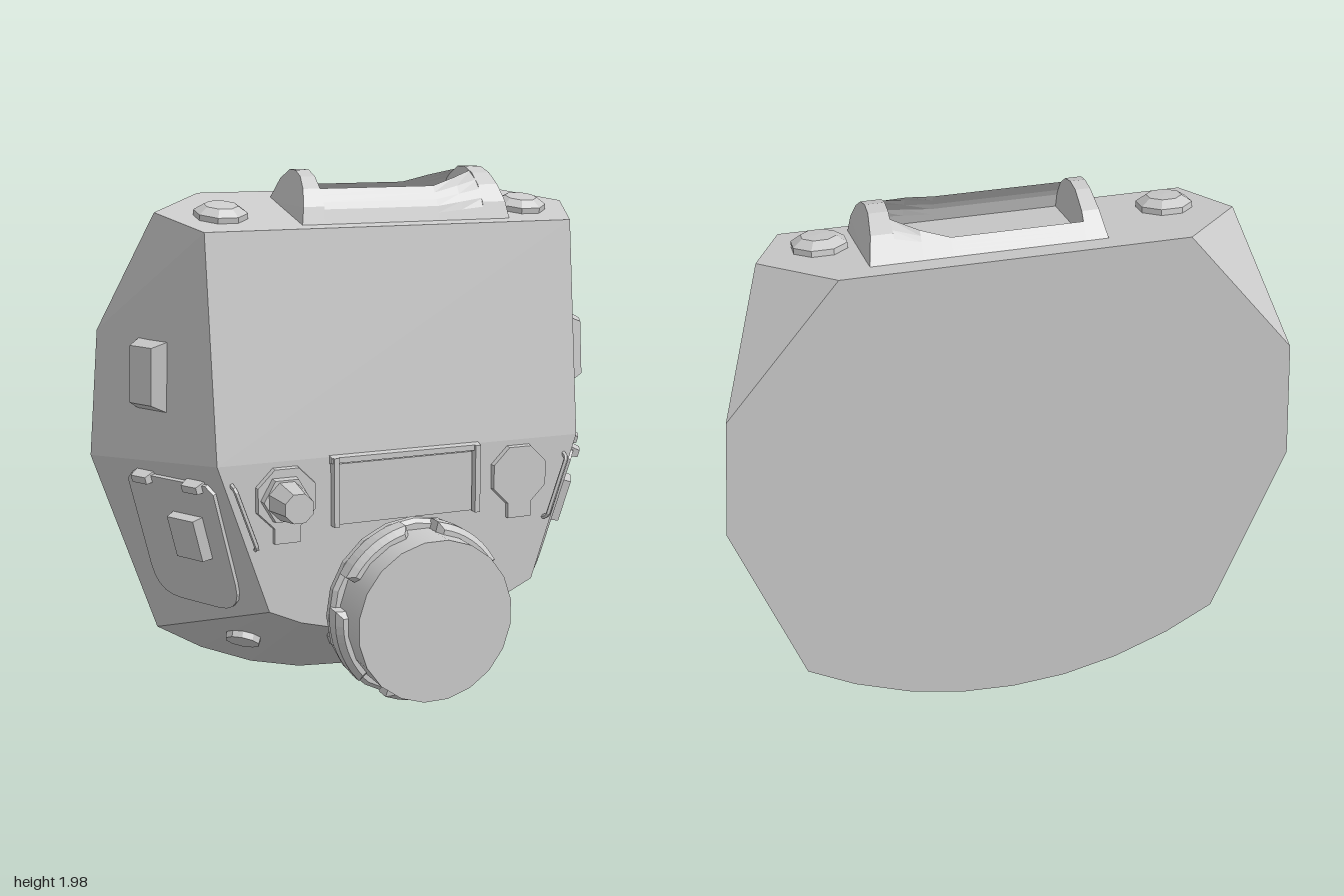
import * as THREE from 'three';
import { ConvexGeometry } from 'three/addons/geometries/ConvexGeometry.js';

const V = (x, y, z) => new THREE.Vector3(x, y, z);
const flat = new THREE.MeshStandardMaterial({ color: 0xcccccc, flatShading: true });
const smooth = new THREE.MeshStandardMaterial({ color: 0xcccccc });
const thin = new THREE.MeshStandardMaterial({ color: 0xcccccc, flatShading: true, side: THREE.DoubleSide });

function add(parent, name, geo, x = 0, y = 0, z = 0, mat = flat) {
  const mesh = new THREE.Mesh(geo, mat);
  mesh.name = name;
  mesh.position.set(x, y, z);
  parent.add(mesh);
  return mesh;
}

// Group whose local z is the surface normal and local y points up along the surface
function mount(parent, name, pos, normal) {
  const n = normal.clone().normalize();
  const up = V(0, 1, 0).addScaledVector(n, -n.y).normalize();
  const g = new THREE.Group();
  g.name = name;
  g.position.copy(pos);
  g.quaternion.setFromRotationMatrix(
    new THREE.Matrix4().makeBasis(up.clone().cross(n), up, n));
  parent.add(g);
  return g;
}

// Prism or truncated cone along z
const disc = (r0, r1, depth, sides) =>
  new THREE.CylinderGeometry(r1, r0, depth, sides).rotateY(Math.PI / sides).rotateX(Math.PI / 2);

// Box with its outer face shrunk and shifted sideways
function wedge(w, h, d, sx, sy, shift) {
  const geo = new THREE.BoxGeometry(w, h, d);
  const p = geo.attributes.position;
  for (let i = 0; i < p.count; i++) {
    if (p.getZ(i) > 0) p.setXY(i, p.getX(i) * sx + shift, p.getY(i) * sy);
  }
  return geo;
}

// Faceted housing: half of the corner points, mirrored
function housing() {
  const half = [
    [0.57, 1.89, -0.43], [0.8, 1.842, -0.19], [0.7, 1.79, 0.07],
    [0.96, 1.41, -0.43], [1, 0.95, -0.43], [0.7, 1, 0.155],
    [0.52, 0.46, 0.155], [0.4, 0.405, 0.155], [0.27, 0.37, 0.155],
    [0.13, 0.345, 0.155], [0, 0.34, 0.155],
    [0.77, 0.26, -0.43], [0.6, 0.155, -0.43], [0.4, 0.07, -0.43],
    [0.2, 0.02, -0.43], [0, 0.005, -0.43],
  ];
  const pts = [];
  for (const [x, y, z] of half) {
    pts.push(V(x, y, z));
    if (x) pts.push(V(-x, y, z));
  }
  return new ConvexGeometry(pts);
}

// Filter canister with a lugged locking collar
function filter(root) {
  const g = new THREE.Group();
  g.name = 'filter';
  g.position.set(0, 0.44, 0);
  root.add(g);
  add(g, 'canister', disc(0.295, 0.295, 0.66, 20), 0, 0, 0.1, smooth);
  const collar = [[0.28, 0.18], [0.3, 0.18], [0.33, 0.215], [0.33, 0.24], [0.315, 0.255], [0.28, 0.255]];
  add(g, 'collar', new THREE.LatheGeometry(
    collar.map(([r, z]) => new THREE.Vector2(r, z)), 20).rotateX(Math.PI / 2));
  const step = Math.PI * 2 / 5;
  for (let i = 0; i < 5; i++) {
    const a = Math.PI / 2 + i * step + 0.25, b = a + step - 0.5;
    const s = new THREE.Shape();
    s.absarc(0, 0, 0.31, a, b, false);
    s.absarc(0, 0, 0.28, b, a, true);
    add(g, 'collarLug', new THREE.ExtrudeGeometry(s, {
      depth: 0.06, bevelThickness: 0.025, bevelSize: 0.02, bevelSegments: 1, curveSegments: 4,
    }), 0, 0, 0.245);
  }
}

// Carry handle: arched shell, open on top, solid ends
const arch = [[0.03, 1.78], [0.01, 1.86], [-0.03, 1.92], [-0.08, 1.96], [-0.14, 1.98],
  [-0.2, 1.98], [-0.28, 1.945], [-0.36, 1.86]];

function archZ(pts, y) {
  for (let i = 1; i < pts.length; i++) {
    const [z0, y0] = pts[i - 1], [z1, y1] = pts[i];
    if (y <= y1) return z0 + (z1 - z0) * (y - y0) / (y1 - y0);
  }
  return pts[pts.length - 1][0];
}

function handle(root) {
  const g = new THREE.Group();
  g.name = 'topHandle';
  root.add(g);
  const shape = new THREE.Shape(arch.map(([z, y]) => new THREE.Vector2(-z, y)));
  for (const [x0, x1, outer] of [[-0.335, -0.245, -1], [0.37, 0.475, 1]]) {
    const geo = new THREE.ExtrudeGeometry(shape, { depth: x1 - x0, bevelEnabled: false })
      .rotateY(Math.PI / 2).translate(x0, 0, 0);
    const p = geo.attributes.position, edge = outer < 0 ? x0 : x1;
    for (let i = 0; i < p.count; i++) {
      if (Math.abs(p.getX(i) - edge) < 0.01)
        p.setX(i, edge - outer * 0.04 * Math.max(0, (p.getY(i) - 1.8) / 0.18));
    }
    add(g, 'handleEnd', geo);
  }
  const xs = [-0.25, 0.19, 0.285, 0.38], tops = [1.92, 1.92, 1.945, 1.97];
  const sides = [arch.slice(0, 5), arch.slice(5).reverse()];
  for (const side of sides) {
    const geo = new THREE.PlaneGeometry(1, 1, 3, 6), p = geo.attributes.position;
    for (let i = 0; i < p.count; i++) {
      const k = i % 4, t = 1 - Math.floor(i / 4) / 6;
      const y = side[0][1] + (tops[k] - side[0][1]) * t;
      p.setXYZ(i, xs[k], y, archZ(side, y));
    }
    add(g, 'handleWall', geo, 0, 0, 0, thin);
  }
}

// Rounded service hatch outline
function hatchShape() {
  const s = new THREE.Shape(), w = 0.212, h = 0.255;
  s.moveTo(-w + 0.03, h);
  s.lineTo(-w, h - 0.03);
  s.lineTo(-w, -h + 0.12);
  s.quadraticCurveTo(-w, -h, -w + 0.12, -h);
  s.lineTo(w - 0.12, -h);
  s.quadraticCurveTo(w, -h, w, -h + 0.12);
  s.lineTo(w, h - 0.03);
  s.lineTo(w - 0.03, h);
  return s;
}

export function createModel() {
  const root = new THREE.Group();
  root.name = 'gasMaskHousing';
  add(root, 'housing', housing());
  filter(root);
  handle(root);

  // Front display panel with frame ribs
  add(root, 'frontPanel', new THREE.BoxGeometry(0.52, 0.22, 0.04), 0, 0.865, 0.15);
  add(root, 'panelLip', wedge(0.58, 0.04, 0.05, 1, 0.5, 0), 0, 0.99, 0.155);
  for (const s of [-1, 1])
    add(root, 'panelRib', new THREE.BoxGeometry(0.02, 0.25, 0.06), s * 0.275, 0.875, 0.16);

  // Two ports with tabs, the right one fitted with a nozzle
  for (const s of [-1, 1]) {
    add(root, 'portPlate', disc(0.122, 0.115, 0.04, 8), s * 0.455, 0.87, 0.155);
    add(root, 'portTab', new THREE.BoxGeometry(0.095, 0.08, 0.04), s * 0.455, 0.75, 0.155);
  }
  add(root, 'nozzleNut', disc(0.09, 0.085, 0.05, 6), -0.465, 0.87, 0.18);
  add(root, 'nozzle', disc(0.075, 0.055, 0.14, 8), -0.465, 0.87, 0.255);

  for (const s of [-1, 1]) {
    // Slanted grab rails beside the ports
    const rail = new THREE.CurvePath();
    const pts = [V(0.65, 0.935, 0.14), V(0.645, 0.92, 0.183), V(0.57, 0.705, 0.183), V(0.565, 0.69, 0.14)];
    pts.forEach(p => { p.x *= s; });
    for (let i = 0; i < 3; i++) rail.add(new THREE.LineCurve3(pts[i], pts[i + 1]));
    add(root, 'grabRail', new THREE.TubeGeometry(rail, 24, 0.009, 5));

    // Side hatches with hinges and latch
    const hatch = mount(root, 'sideHatch', V(s * 0.737, 0.68, -0.11), V(s * 0.842, -0.281, 0.46));
    add(hatch, 'hatchDoor', new THREE.ExtrudeGeometry(hatchShape(),
      { depth: 0.035, bevelEnabled: false, curveSegments: 5 }), 0, 0, -0.02);
    for (const k of [-1, 1])
      add(hatch, 'hinge', wedge(0.09, 0.045, 0.06, 0.8, 0.6, 0), k * 0.125, 0.245, 0.01);
    add(hatch, 'latch', wedge(0.15, 0.17, 0.05, 0.85, 0.95, s * 0.01), -s * 0.06, 0.04, 0.025);

    // Upper side blocks
    const block = mount(root, 'sideBlock', V(s * 0.831, 1.28, -0.135), V(s * 0.888, 0.046, 0.456));
    add(block, 'blockBody', wedge(0.17, 0.27, 0.06, 0.65, 0.75, s * 0.028), 0, 0, 0.01);

    // Top knobs
    const knob = mount(root, 'topKnob', V(s * 0.585, 1.826, -0.11), V(0, 0.98, 0.196));
    const profile = [[0.095, -0.02], [0.095, 0.02], [0.06, 0.043], [0, 0.045]];
    add(knob, 'knobCap', new THREE.LatheGeometry(
      profile.map(([r, y]) => new THREE.Vector2(r, y)), 8).rotateY(Math.PI / 8).rotateX(Math.PI / 2));

    // Lower bevel buttons
    const button = mount(root, 'lowerButton', V(s * 0.51, 0.275, -0.17), V(s * 0.374, -0.815, 0.443));
    add(button, 'buttonDisc', disc(0.07, 0.065, 0.05, 10), 0, 0, 0.005);
  }
  return root;
}
